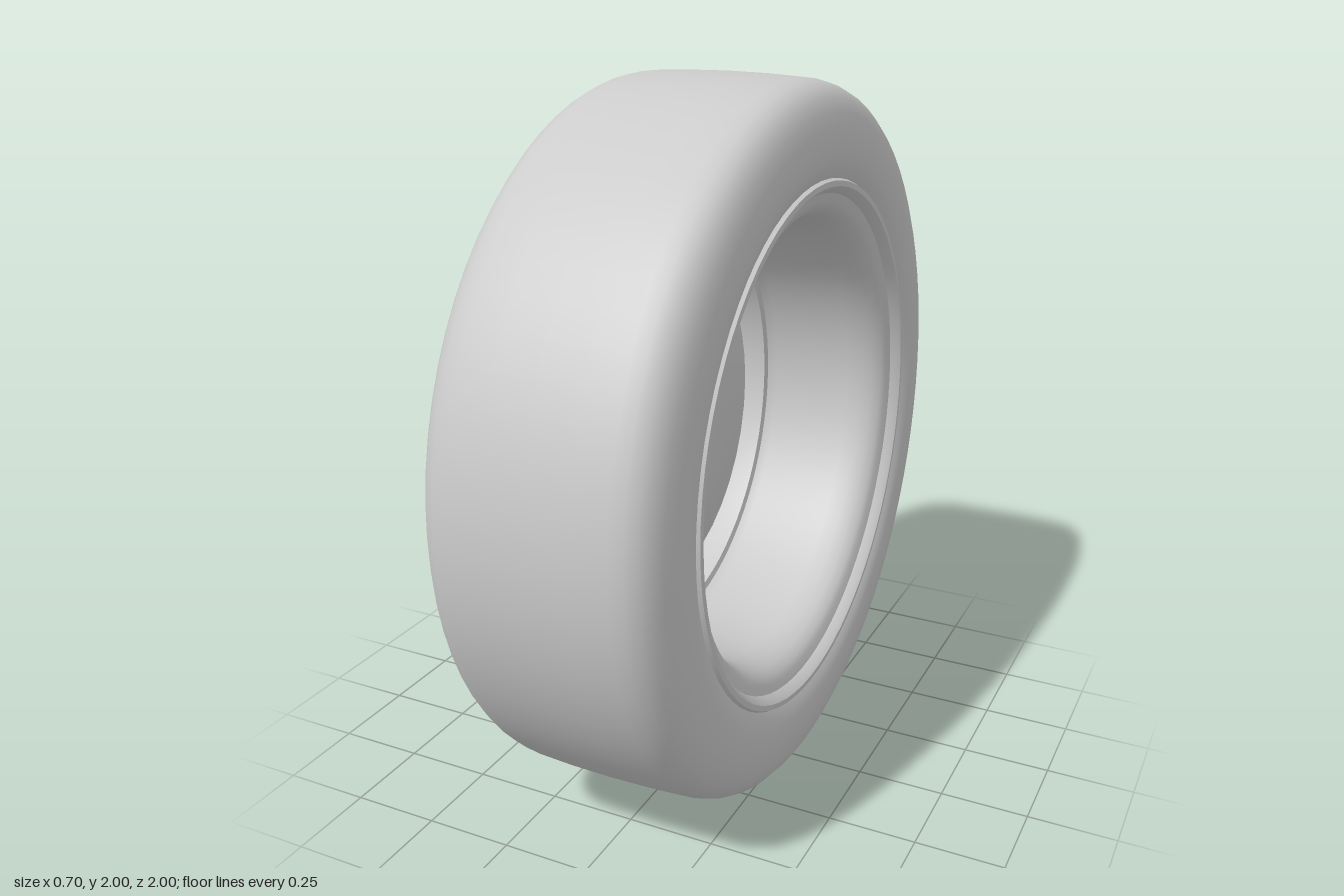
import * as THREE from 'three';
import { toCreasedNormals } from 'three/addons/utils/BufferGeometryUtils.js';

const material = new THREE.MeshStandardMaterial({ color: 0xcccccc, side: THREE.DoubleSide });

function addMesh(parent, name, geometry) {
  const mesh = new THREE.Mesh(geometry, material);
  mesh.name = name;
  parent.add(mesh);
  return mesh;
}

// Revolves [radius, x] points around the x axis
function revolve(points, segments, crease = 0.6) {
  const profile = points.map(([r, x]) => new THREE.Vector2(r, x));
  const geometry = new THREE.LatheGeometry(profile, segments);
  geometry.rotateZ(-Math.PI / 2);
  return toCreasedNormals(geometry, crease);
}

// Spoke along +y: rounded section swept through [radius, half width, front x, back x]
function spokeGeometry() {
  const stations = [
    [0.05, 0.08, -0.25, -0.18], [0.15, 0.125, -0.255, -0.18], [0.2, 0.118, -0.27, -0.18],
    [0.26, 0.095, -0.315, -0.19], [0.33, 0.08, -0.342, -0.21], [0.43, 0.073, -0.354, -0.22],
    [0.54, 0.077, -0.349, -0.22], [0.64, 0.088, -0.333, -0.22], [0.73, 0.105, -0.309, -0.23],
  ];
  const section = [[-0.88, 0], [-1, 0.3], [-0.93, 0.65], [-0.65, 0.93], [0, 1],
    [0.65, 0.93], [0.93, 0.65], [1, 0.3], [0.88, 0]];
  const front = new THREE.CatmullRomCurve3(stations.map(([r, w, f]) => new THREE.Vector3(r, w, f)));
  const back = new THREE.CatmullRomCurve3(stations.map(([r, w, , b]) => new THREE.Vector3(r, w, b)));
  const steps = 32, n = section.length, position = [], index = [];
  for (let i = 0; i <= steps; i++) {
    const f = front.getPoint(i / steps), b = back.getPoint(i / steps);
    for (const [across, depth] of section) {
      position.push(THREE.MathUtils.lerp(b.z, f.z, depth), f.x, across * f.y);
    }
    for (let j = 0; j < n && i < steps; j++) {
      const a = i * n + j, c = i * n + (j + 1) % n;
      index.push(a, c, c + n, a, c + n, a + n);
    }
  }
  const geometry = new THREE.BufferGeometry();
  geometry.setAttribute('position', new THREE.Float32BufferAttribute(position, 3));
  geometry.setIndex(index);
  return toCreasedNormals(geometry, 0.75);
}

export function createModel() {
  const root = new THREE.Group();
  root.name = 'wheel';
  const wheel = new THREE.Group();
  wheel.name = 'wheelAssembly';
  wheel.position.y = 1;
  root.add(wheel);

  // Tyre with rounded shoulders
  addMesh(wheel, 'tyre', revolve([
    [0.735, -0.309], [0.78, -0.312], [0.83, -0.312], [0.87, -0.308], [0.91, -0.299], [0.945, -0.284],
    [0.97, -0.263], [0.985, -0.235], [0.993, -0.2], [0.998, -0.1], [1, 0.017], [0.998, 0.134],
    [0.993, 0.233], [0.985, 0.268], [0.97, 0.296], [0.945, 0.317], [0.91, 0.332], [0.87, 0.341],
    [0.83, 0.345], [0.79, 0.343], [0.76, 0.336], [0.735, 0.322],
  ], 72, 1));

  // Rim: inner lip, barrel, outer lip
  addMesh(wheel, 'rim', revolve([
    [0.74, 0.322], [0.733, 0.334], [0.718, 0.335], [0.708, 0.325], [0.698, 0.307], [0.675, 0.3],
    [0.655, 0.29], [0.638, 0.265], [0.625, 0.235], [0.618, 0.19], [0.61, -0.05], [0.6, -0.075],
    [0.582, -0.08], [0.58, -0.18], [0.6, -0.215], [0.64, -0.235], [0.675, -0.26], [0.7, -0.295],
    [0.712, -0.307], [0.74, -0.312],
  ], 72));

  // Brake disc with a hollow hat
  addMesh(wheel, 'brakeDisc', revolve([
    [0, -0.2], [0.235, -0.2], [0.25, -0.19], [0.25, -0.15], [0.475, -0.15], [0.488, -0.142],
    [0.488, -0.108], [0.475, -0.1], [0.25, -0.1], [0.245, -0.14], [0, -0.14],
  ], 36));

  // Hub and centre cap
  addMesh(wheel, 'hub', revolve([[0, -0.262], [0.17, -0.262], [0.195, -0.25], [0.2, -0.18], [0, -0.18]], 40));
  addMesh(wheel, 'centreCap', revolve([
    [0, -0.287], [0.07, -0.285], [0.108, -0.28], [0.116, -0.284], [0.126, -0.28], [0.13, -0.26],
  ], 40, 0.4));

  // Five spokes, each with a wheel bolt at its root
  const spoke = spokeGeometry();
  const bolt = revolve([[0, -0.298], [0.018, -0.296], [0.029, -0.288], [0.033, -0.28], [0.033, -0.25]], 6, 0.4);
  const seat = revolve([[0.03, -0.272], [0.042, -0.272], [0.046, -0.25]], 20);
  for (let i = 0; i < 5; i++) {
    const arm = new THREE.Group();
    arm.name = 'spokeArm';
    arm.rotation.x = (i * 2 * Math.PI) / 5;
    addMesh(arm, 'spoke', spoke);
    addMesh(arm, 'wheelBolt', bolt).position.y = 0.18;
    addMesh(arm, 'boltSeat', seat).position.y = 0.18;
    wheel.add(arm);
  }

  // Tyre valve
  addMesh(wheel, 'valve', revolve([
    [0, -0.255], [0.012, -0.253], [0.015, -0.245], [0.015, -0.215], [0.011, -0.212], [0.011, -0.17],
  ], 14)).position.y = -0.565;

  return root;
}
